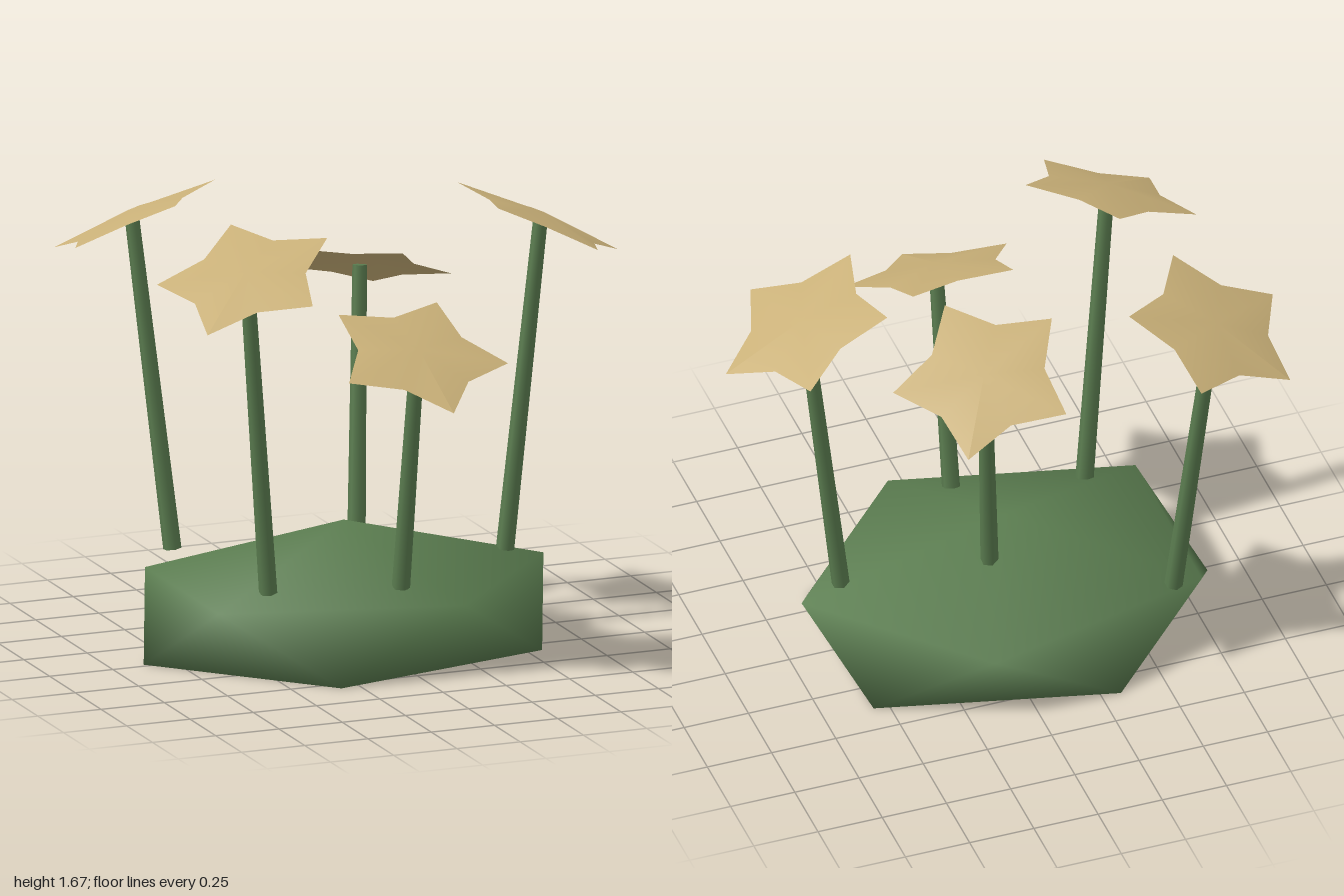
import * as THREE from 'three';

const green = new THREE.MeshStandardMaterial({ color: 0x5b7d50, side: THREE.DoubleSide });
green.name = 'mossGreen';
const tan = new THREE.MeshStandardMaterial({ color: 0xc9b078, side: THREE.DoubleSide });
tan.name = 'petalTan';

// Two offset five-sided rings closed by an apex and a flat base, smooth shaded
function moundGeometry() {
  const pos = [-0.08, 0.47, -0.02, -0.08, 0, -0.02];
  const index = [];
  for (const [y, turn] of [[0.265, 0], [0, Math.PI / 5]]) {
    for (let i = 0; i < 5; i++) {
      const a = turn + (i * Math.PI * 2) / 5;
      pos.push(-0.08 + 0.79 * Math.cos(a), y, -0.02 + 0.61 * Math.sin(a));
    }
  }
  for (let i = 0; i < 5; i++) {
    const j = (i + 1) % 5;
    const u = 2 + i, u2 = 2 + j, l = 7 + i, l2 = 7 + j;
    index.push(0, u2, u, u, u2, l, l, u2, l2, 1, l, l2);
  }
  const g = new THREE.BufferGeometry();
  g.setAttribute('position', new THREE.Float32BufferAttribute(pos, 3));
  g.setIndex(index);
  g.computeVertexNormals();
  return g;
}

// Five-pointed blossom with a slightly raised centre, one tip along +x
function starGeometry() {
  const g = new THREE.CircleGeometry(0.34, 10);
  const p = g.attributes.position;
  p.setZ(0, 0.03);
  for (let i = 1; i < p.count; i++) {
    if (i % 2 === 0) p.setXY(i, p.getX(i) * 0.65, p.getY(i) * 0.65);
  }
  g.rotateX(-Math.PI / 2);
  g.computeVertexNormals();
  return g;
}

// Tapered stem between two points
function makeStem(from, to) {
  const a = new THREE.Vector3(...from), b = new THREE.Vector3(...to);
  const dir = b.clone().sub(a);
  const stem = new THREE.Mesh(new THREE.CylinderGeometry(0.027, 0.034, dir.length(), 6), green);
  stem.position.copy(a).add(b).multiplyScalar(0.5);
  stem.quaternion.setFromUnitVectors(new THREE.Vector3(0, 1, 0), dir.normalize());
  stem.name = 'stem';
  return stem;
}

export function createModel() {
  const model = new THREE.Group();
  model.name = 'starFlowerClump';

  const mound = new THREE.Mesh(moundGeometry(), green);
  mound.name = 'mound';
  model.add(mound);

  // Stem foot, blossom centre, and the x/z direction the blossom leans towards
  const flowers = [
    { foot: [0.55, 0.3, 0], head: [0.69, 1.535, 0], lean: [1, 0] },
    { foot: [-0.02, 0.31, 0.39], head: [-0.01, 1.222, 0.524], lean: [0.02, 0.31] },
    { foot: [-0.5, 0.31, 0.28], head: [-0.62, 1.54, 0.37], lean: [-0.24, 0.2] },
    { foot: [-0.59, 0.31, -0.43], head: [-0.705, 1.55, -0.54], lean: [-0.22, -0.21] },
    { foot: [0.03, 0.36, -0.165], head: [0.096, 1.35, -0.296], lean: [0.154, -0.254] },
  ];
  const star = starGeometry();
  for (const { foot, head, lean } of flowers) {
    const flower = new THREE.Group();
    flower.name = 'flower';
    const blossom = new THREE.Mesh(star, tan);
    blossom.name = 'blossom';
    blossom.position.set(...head);
    blossom.rotation.set(0, -Math.atan2(lean[1], lean[0]), -0.44);
    flower.add(makeStem(foot, head), blossom);
    model.add(flower);
  }
  return model;
}
